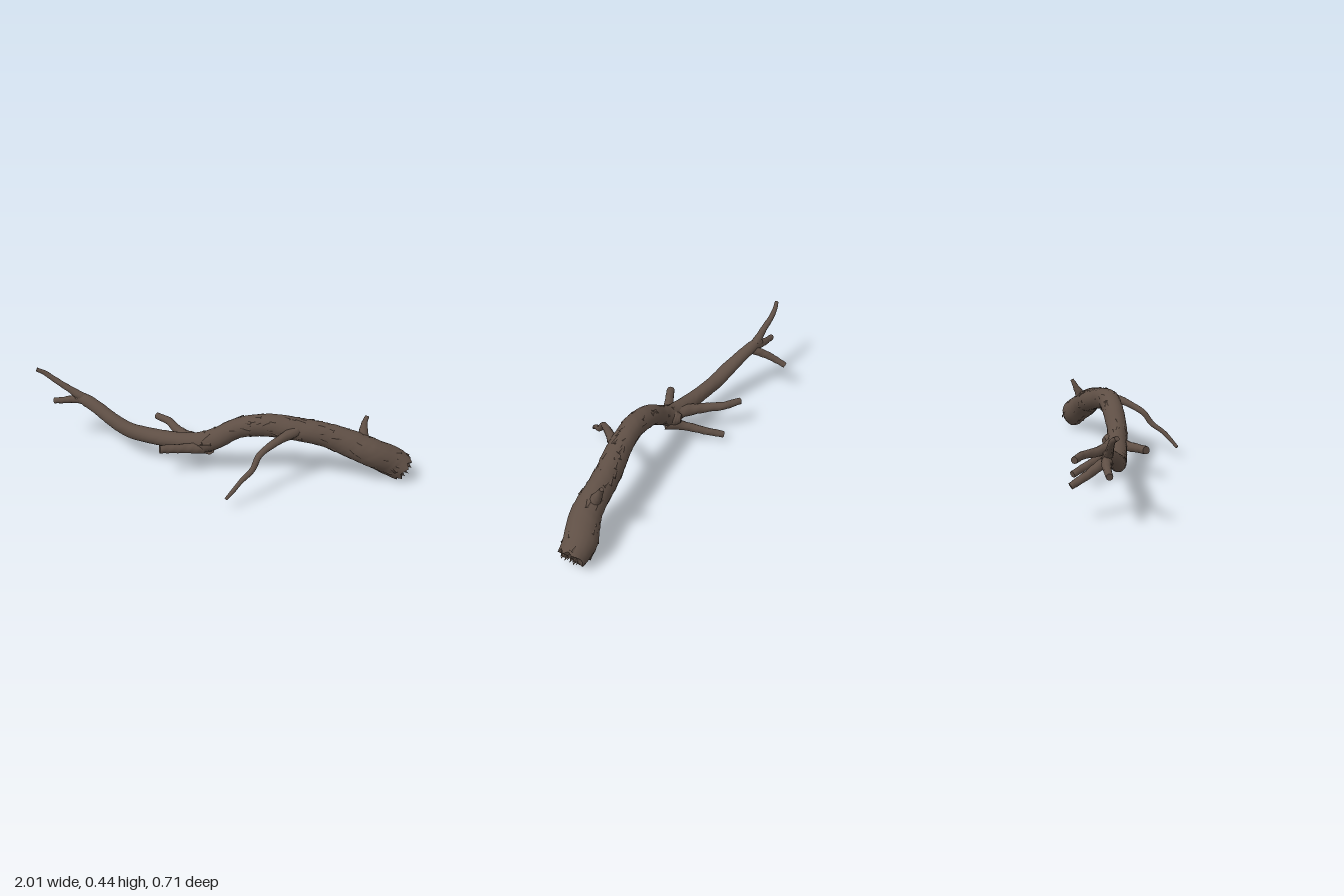
import * as THREE from 'three';
import { mergeGeometries } from 'three/addons/utils/BufferGeometryUtils.js';

const bark = new THREE.MeshStandardMaterial({ color: 0x5f4f45 });
bark.name = 'bark';

// Small seeded random source
function seeded(seed) {
  let s = seed;
  return () => {
    s = (s * 16807) % 2147483647;
    return s / 2147483647;
  };
}

// Path and radius sampler for stations of [x, y, z, radius]
function makePath(stations, steps) {
  const curve = new THREE.CatmullRomCurve3(stations.map(([x, y, z]) => new THREE.Vector3(x, y, z)));
  const frames = curve.computeFrenetFrames(steps, false);
  const radiusAt = (u) => {
    const k = curve.getUtoTmapping(u) * (stations.length - 1);
    const i = Math.min(Math.floor(k), stations.length - 2);
    return THREE.MathUtils.lerp(stations[i][3], stations[i + 1][3], k - i);
  };
  return { curve, frames, radiusAt, steps };
}

// Tapering limb with an uneven skin and closed, ragged ends
function limbGeometry(path, sides, rough, ragged, seed) {
  const { curve, frames, radiusAt, steps } = path;
  const rand = seeded(seed);
  const pos = [], index = [];
  for (let i = 0; i <= steps; i++) {
    const u = i / steps;
    const centre = curve.getPointAt(u);
    for (let j = 0; j < sides; j++) {
      const a = (j / sides) * Math.PI * 2;
      const lump = Math.sin(u * 31 + a * 2 + seed) * 0.5 + Math.sin(u * 17 - a * 3) * 0.4;
      const r = radiusAt(u) * (1 + rough * (lump + (rand() - 0.5) * 0.8));
      const p = centre.clone()
        .addScaledVector(frames.normals[i], Math.cos(a) * r)
        .addScaledVector(frames.binormals[i], Math.sin(a) * r);
      if (i === 0) p.addScaledVector(frames.tangents[i], (rand() - 0.5) * ragged);
      pos.push(p.x, p.y, p.z);
    }
  }
  for (let i = 0; i < steps; i++) {
    for (let j = 0; j < sides; j++) {
      const k = (j + 1) % sides;
      const a = i * sides + j, b = i * sides + k;
      index.push(a, b, a + sides, b, b + sides, a + sides);
    }
  }
  // End caps use their own ring so the rim stays sharp
  for (const [row, first] of [[0, true], [steps, false]]) {
    const base = pos.length / 3;
    for (let j = 0; j < sides * 3; j++) pos.push(pos[row * sides * 3 + j]);
    const c = curve.getPointAt(first ? 0 : 1);
    pos.push(c.x, c.y, c.z);
    for (let j = 0; j < sides; j++) {
      const k = (j + 1) % sides;
      index.push(base + sides, base + (first ? k : j), base + (first ? j : k));
    }
  }
  const g = new THREE.BufferGeometry();
  g.setAttribute('position', new THREE.Float32BufferAttribute(pos, 3));
  g.setIndex(index);
  g.computeVertexNormals();
  return g;
}

// Thin slivers of lifted bark lying along the limb
function flakeGeometry(path, count, uMax, seed) {
  const rand = seeded(seed);
  const parts = [];
  for (let n = 0; n < count; n++) {
    const i = Math.floor((0.02 + rand() * (uMax - 0.02)) * path.steps);
    const u = i / path.steps, a = rand() * Math.PI * 2;
    const N = path.frames.normals[i], B = path.frames.binormals[i], T = path.frames.tangents[i];
    const out = N.clone().multiplyScalar(Math.cos(a)).addScaledVector(B, Math.sin(a));
    const side = new THREE.Vector3().crossVectors(T, out);
    const g = new THREE.ConeGeometry(0.006 + rand() * 0.006, 0.03 + rand() * 0.035, 4).toNonIndexed();
    g.scale(1, 1, 0.45);
    g.rotateX((rand() - 0.5) * 0.3);
    g.rotateZ((rand() - 0.5) * 0.9);
    const m = new THREE.Matrix4().makeBasis(side, T, out.clone());
    if (m.determinant() < 0) m.makeBasis(side.negate(), T, out);
    m.setPosition(path.curve.getPointAt(u).addScaledVector(out, path.radiusAt(u) * 0.99));
    g.applyMatrix4(m);
    g.computeVertexNormals();
    parts.push(g);
  }
  return mergeGeometries(parts);
}

export function createModel() {
  const group = new THREE.Group();
  group.name = 'fallenBranch';
  const add = (name, geometry) => {
    const mesh = new THREE.Mesh(geometry, bark);
    mesh.name = name;
    group.add(mesh);
  };

  // Main limb, from the thick broken end to the thin fork
  const trunk = makePath([
    [0.965, 0.065, -0.275, 0.068], [0.90, 0.103, -0.263, 0.08], [0.80, 0.167, -0.2, 0.074],
    [0.6, 0.245, -0.14, 0.064], [0.45, 0.285, -0.075, 0.06], [0.3, 0.305, -0.025, 0.058],
    [0.15, 0.275, 0.01, 0.054], [0.05, 0.21, 0.033, 0.053], [-0.03, 0.168, 0.035, 0.054],
    [-0.15, 0.155, 0.045, 0.045], [-0.3, 0.152, 0.055, 0.041], [-0.45, 0.165, 0.06, 0.04],
    [-0.55, 0.203, 0.055, 0.038], [-0.65, 0.25, 0.04, 0.034], [-0.72, 0.275, 0.03, 0.033],
    [-0.785, 0.29, 0.022, 0.022],
  ], 110);
  add('trunk', limbGeometry(trunk, 18, 0.05, 0.035, 11));
  add('barkFlakes', flakeGeometry(trunk, 110, 0.62, 29));

  // Side shoots: stations of [x, y, z, radius]
  const shoots = {
    upperForkTwig: [[-0.74, 0.285, 0.025, 0.026], [-0.83, 0.335, 0.038, 0.018],
      [-0.92, 0.385, 0.048, 0.015], [-0.96, 0.413, 0.058, 0.013], [-0.995, 0.432, 0.076, 0.011]],
    middleForkTwig: [[-0.73, 0.277, 0.025, 0.028], [-0.8, 0.267, 0.022, 0.023],
      [-0.86, 0.253, 0.03, 0.018], [-0.92, 0.243, 0.042, 0.016]],
    lowerForkTwig: [[-0.71, 0.265, 0.028, 0.026], [-0.765, 0.23, -0.03, 0.022],
      [-0.8, 0.2, -0.08, 0.019], [-0.825, 0.17, -0.133, 0.016]],
    frontStub: [[-0.02, 0.145, 0.05, 0.034], [-0.09, 0.15, 0.1, 0.026],
      [-0.15, 0.158, 0.145, 0.023], [-0.21, 0.165, 0.19, 0.021]],
    lowStub: [[0, 0.135, 0.03, 0.036], [-0.08, 0.1, -0.03, 0.023],
      [-0.15, 0.068, -0.105, 0.02], [-0.225, 0.038, -0.18, 0.018]],
    backStub: [[-0.07, 0.165, 0.025, 0.036], [-0.18, 0.157, -0.025, 0.028],
      [-0.24, 0.157, -0.07, 0.024], [-0.3, 0.16, -0.12, 0.021], [-0.39, 0.16, -0.155, 0.018]],
    longTwig: [[0.45, 0.295, -0.04, 0.03], [0.4, 0.283, 0.045, 0.022], [0.36, 0.262, 0.11, 0.018],
      [0.325, 0.23, 0.17, 0.016], [0.31, 0.175, 0.215, 0.015], [0.275, 0.135, 0.28, 0.012],
      [0.25, 0.098, 0.32, 0.011], [0.225, 0.063, 0.355, 0.008]],
    topKnob: [[0.758, 0.2, -0.2, 0.04], [0.752, 0.25, -0.225, 0.026],
      [0.748, 0.295, -0.248, 0.016], [0.755, 0.332, -0.268, 0.01]],
    backKnot: [[-0.02, 0.165, 0.03, 0.045], [-0.035, 0.165, -0.005, 0.04], [-0.05, 0.165, -0.03, 0.022]],
  };
  Object.entries(shoots).forEach(([name, stations], i) => {
    const path = makePath(stations, stations.length * 5);
    add(name, limbGeometry(path, 10, 0.06, 0.008, 41 + i));
  });

  // Splinters around the broken end
  const start = trunk.curve.getPointAt(0);
  const T = trunk.frames.tangents[0], N = trunk.frames.normals[0], B = trunk.frames.binormals[0];
  const rand = seeded(77);
  const splinters = [];
  for (let i = 0; i < 9; i++) {
    const a = (i / 9) * Math.PI * 2, r = 0.03 + rand() * 0.022;
    const g = new THREE.ConeGeometry(0.017, 0.035 + rand() * 0.02, 4).toNonIndexed();
    const q = new THREE.Quaternion().setFromUnitVectors(new THREE.Vector3(0, 1, 0), T.clone().negate());
    g.applyQuaternion(q);
    const p = start.clone().addScaledVector(N, Math.cos(a) * r).addScaledVector(B, Math.sin(a) * r);
    g.translate(p.x, p.y, p.z);
    g.computeVertexNormals();
    splinters.push(g);
  }
  add('brokenEndSplinters', mergeGeometries(splinters));

  return group;
}
